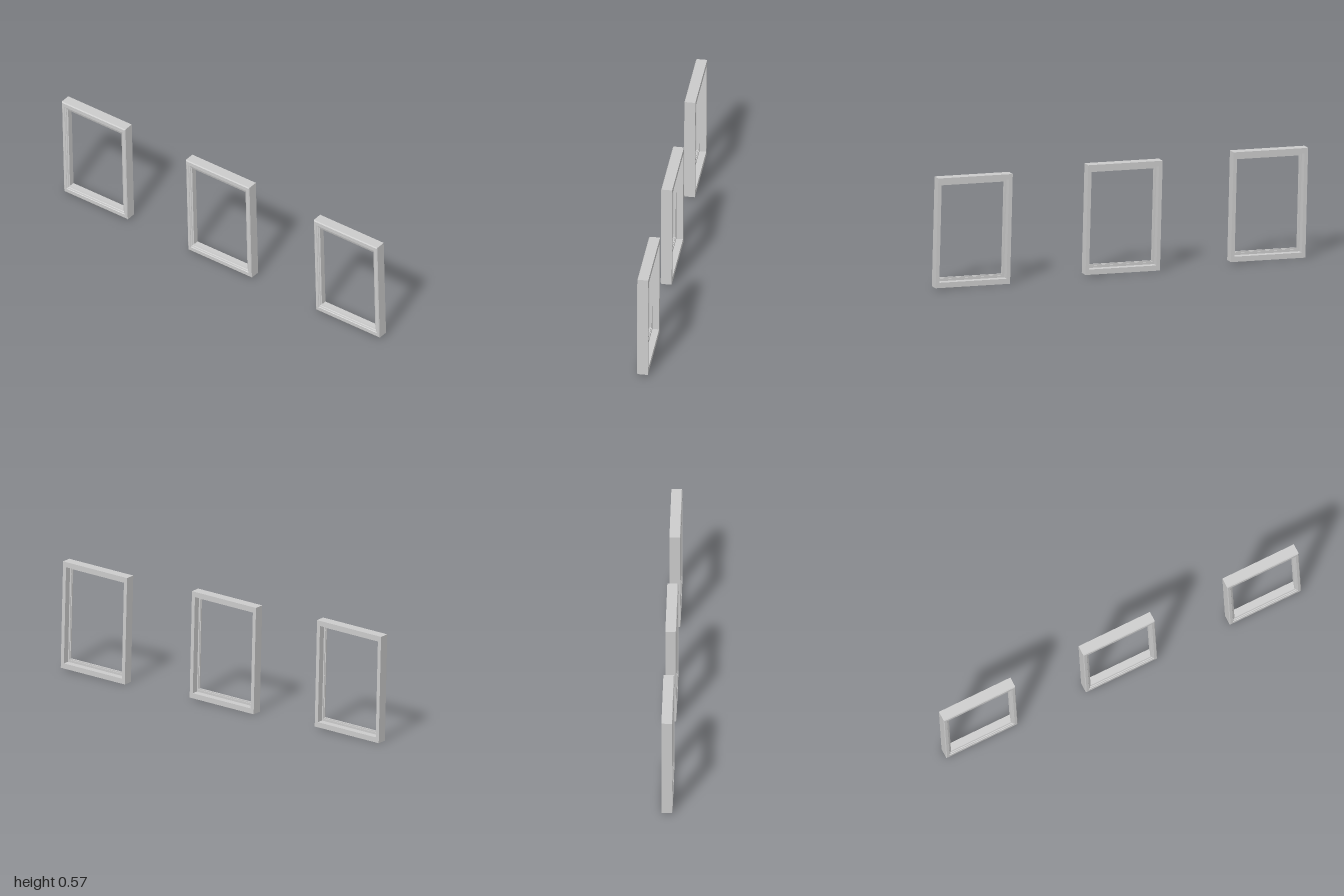
import * as THREE from 'three';

const WIDTH = 0.4, HEIGHT = 0.563;         // outer size of a frame
const SIDE = 0.032, RAIL = 0.045;          // moulding width: stiles, rails

// Moulding section: [inset as a fraction of the moulding width, x].
// The decorated face looks to -x, the rebate opens to +x.
const PROFILE = [
  [0, 0.028], [0, -0.024], [0.12, -0.028], [0.55, -0.028],
  [0.6, -0.025], [0.76, -0.023], [0.8, -0.02], [1, -0.017],
  [1, -0.01], [0.86, -0.01], [0.86, -0.006], [0.6, -0.006], [0.6, 0.028],
];
const CORNERS = [[1, 1], [-1, 1], [-1, -1], [1, -1]];   // signs of z, y

// Sweep the section around the rectangle, with mitred corners
function frameGeometry() {
  const point = (i, k) => {
    const [t, x] = PROFILE[i % PROFILE.length];
    const [sz, sy] = CORNERS[k % 4];
    return [x, sy * (HEIGHT / 2 - t * RAIL), sz * (WIDTH / 2 - t * SIDE)];
  };
  const positions = [];
  for (let i = 0; i < PROFILE.length; i++) {
    for (let k = 0; k < 4; k++) {
      const a = point(i, k), b = point(i, k + 1);
      const c = point(i + 1, k + 1), d = point(i + 1, k);
      positions.push(...a, ...b, ...c, ...a, ...c, ...d);
    }
  }
  const geometry = new THREE.BufferGeometry();
  geometry.setAttribute('position', new THREE.Float32BufferAttribute(positions, 3));
  geometry.computeVertexNormals();
  return geometry;
}

export function createModel() {
  const group = new THREE.Group();
  group.name = 'pictureFrames';
  const material = new THREE.MeshStandardMaterial({ color: 0xcccccc, flatShading: true });
  const geometry = frameGeometry();

  // Three equal frames in a row, each hanging slightly crooked
  [['frontFrame', 0.793], ['middleFrame', -0.012], ['backFrame', -0.793]].forEach(([name, z]) => {
    const frame = new THREE.Mesh(geometry, material);
    frame.name = name;
    frame.position.set(0, 0.287, z);
    frame.rotation.x = THREE.MathUtils.degToRad(-1.5);
    group.add(frame);
  });
  return group;
}
